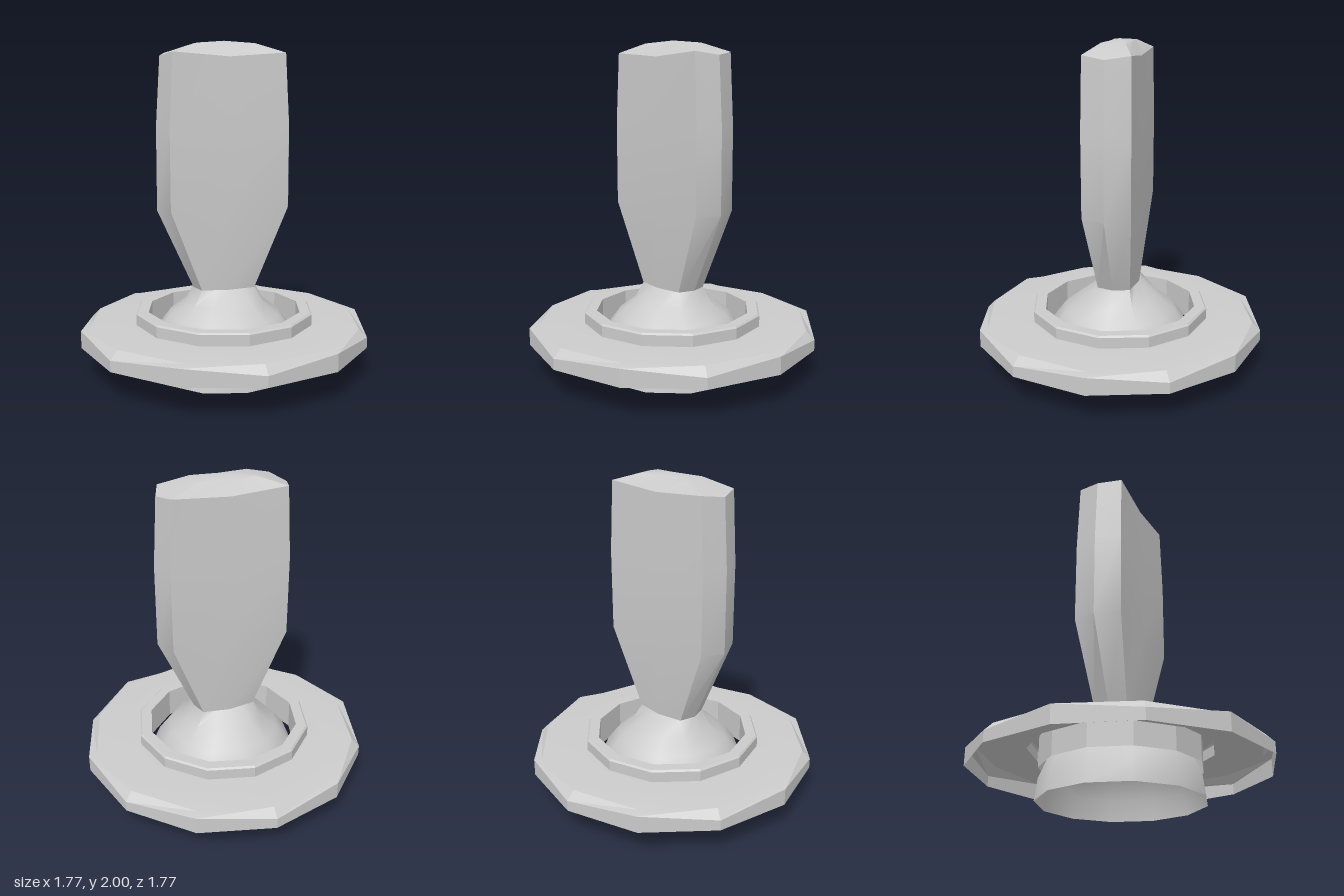
import * as THREE from 'three';
import { toCreasedNormals } from 'three/addons/utils/BufferGeometryUtils.js';

const SIDES = 12;

// Joins equal-length rings of [x, y, z] points, listed along the surface.
function loft(rings, crease) {
  const n = rings[0].length, index = [];
  for (let i = 0; i < rings.length - 1; i++) {
    for (let j = 0; j < n; j++) {
      const k = (j + 1) % n, a = i * n, b = a + n;
      index.push(a + j, a + k, b + k, a + j, b + k, b + j);
    }
  }
  const geometry = new THREE.BufferGeometry();
  geometry.setAttribute('position', new THREE.Float32BufferAttribute(rings.flat(2), 3));
  geometry.setIndex(index);
  return toCreasedNormals(geometry, crease);
}

// Twelve-sided ring; height may depend on the corner number.
function ring(radius, height) {
  return Array.from({ length: SIDES }, (_, k) => {
    const a = (k / SIDES) * Math.PI * 2;
    const y = typeof height === 'function' ? height(k) : height;
    return [radius * Math.sin(a), y, radius * Math.cos(a)];
  });
}

// Mirrors a quarter outline, from the front middle to the side tip, into a full ring.
function mirrored(quarter) {
  const inner = quarter.slice(0, -1).reverse();
  const half = [...quarter, ...inner.map(([x, y, z]) => [x, y, -z])];
  return [...half, ...half.slice(1, -1).reverse().map(([x, y, z]) => [-x, y, z])];
}

export function createModel() {
  const model = new THREE.Group();
  const material = new THREE.MeshStandardMaterial({ color: 0xcccccc, side: THREE.DoubleSide });
  const add = (name, geometry) => {
    const mesh = new THREE.Mesh(geometry, material);
    mesh.name = name;
    model.add(mesh);
  };

  // Hollow plate with an alternating chamfer, open underneath
  add('mountingPlate', loft([
    ring(0.885, 0.185),
    ring(0.885, k => (k % 2 ? 0.29 : 0.25)),
    ring(0.835, 0.3),
    ring(0.545, 0.3),
  ], 0.3));

  // Raised collar with an inner sleeve around the ball
  add('collar', loft([
    ring(0.55, 0.3),
    ring(0.55, 0.365),
    ring(0.54, 0.375),
    ring(0.475, 0.375),
    ring(0.475, 0.19),
  ], 0.3));

  // Open half ball narrowing into the neck
  const ballRings = [0, 15, 30, 45, 60].map(deg => {
    const a = THREE.MathUtils.degToRad(deg);
    return ring(0.49 * Math.cos(a), 0.49 * Math.sin(a));
  });
  ballRings.push(mirrored([[0, 0.515, 0.125], [0.083, 0.515, 0.1125], [0.165, 0.515, 0.1], [0.195, 0.515, 0]]));
  add('ballPivot', loft(ballRings, 1));

  // Lever: front middle, corner and side tip at each level
  const top = mirrored([[0, 1.905, 0.132], [0.34, 1.93, 0.14], [0.39, 1.91, 0]]);
  add('lever', loft([
    mirrored([[0, 0.515, 0.125], [0.165, 0.515, 0.1], [0.195, 0.515, 0]]),
    mirrored([[0, 1.02, 0.145], [0.36, 1.01, 0.145], [0.415, 1.0, 0]]),
    mirrored([[0, 1.5, 0.143], [0.362, 1.5, 0.145], [0.415, 1.5, 0]]),
    top,
  ], 0.4));

  // Domed lever tip
  add('leverTip', loft([
    top,
    mirrored([[0, 1.98, 0.07], [0.17, 1.985, 0.07], [0.18, 1.985, 0]]),
    top.map(() => [0, 2, 0]),
  ], 0.6));

  return model;
}
